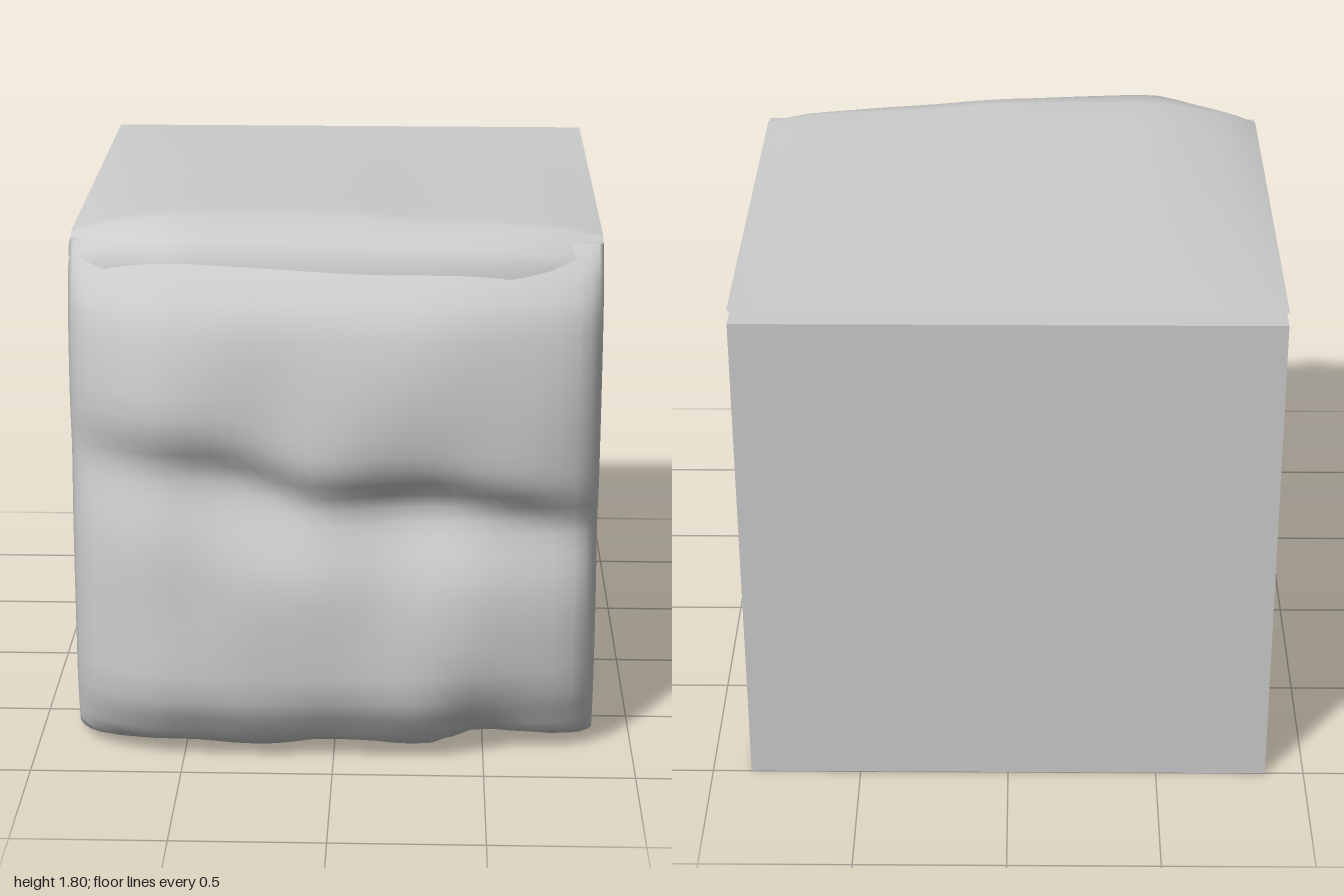
import * as THREE from 'three';

const HALF = 0.87, BACK = -1, BODY_TOP = 1.71, LIP = 0.6;

// Smooth monotone-style lookup through a few [position, value] points
function curve(points) {
  const slope = (i) => {
    if (i <= 0 || i >= points.length - 1) return null;
    const [a, b, c] = [points[i - 1], points[i], points[i + 1]];
    const l = (b[1] - a[1]) / (b[0] - a[0]), r = (c[1] - b[1]) / (c[0] - b[0]);
    return l * r <= 0 ? 0 : (2 * l * r) / (l + r);
  };
  return (t) => {
    if (t <= points[0][0]) return points[0][1];
    if (t >= points[points.length - 1][0]) return points[points.length - 1][1];
    let i = 0;
    while (t > points[i + 1][0]) i++;
    const [x0, y0] = points[i], [x1, y1] = points[i + 1];
    const h = x1 - x0, s = (t - x0) / h, d = (y1 - y0) / h;
    const m0 = slope(i) ?? d, m1 = slope(i + 1) ?? d;
    const s2 = s * s, s3 = s2 * s;
    return (2 * s3 - 3 * s2 + 1) * y0 + (s3 - 2 * s2 + s) * h * m0
      + (3 * s2 - 2 * s3) * y1 + (s3 - s2) * h * m1;
  };
}

// Smooth surface through rows of equal-length point lists
function gridGeometry(rows) {
  const n = rows[0].length, index = [];
  for (let j = 0; j < rows.length - 1; j++) {
    for (let i = 0; i < n - 1; i++) {
      const a = j * n + i, b = a + n;
      index.push(a, a + 1, b, a + 1, b + 1, b);
    }
  }
  const g = new THREE.BufferGeometry();
  g.setAttribute('position', new THREE.Float32BufferAttribute(rows.flat(2), 3));
  g.setIndex(index);
  g.computeVertexNormals();
  return g;
}

// Rock face: depth by height, fullness across the width, and the slanting crease
const profile = curve([[0, LIP], [0.04, 0.87], [0.1, 0.93], [0.24, 1], [0.6, 0.985], [0.95, 0.95],
  [1.18, 0.94], [1.4, 0.9], [1.52, 0.85], [1.6, 0.77], [1.66, 0.69], [BODY_TOP, LIP]]);
const fullness = curve([[-HALF, 0.3], [-0.84, 0.52], [-0.78, 0.7], [-0.65, 0.88], [-0.55, 0.96], [-0.2, 0.97],
  [-0.04, 1], [0.2, 0.95], [0.4, 0.89], [0.6, 0.77], [0.8, 0.58], [0.85, 0.44], [HALF, 0.3]]);
const creaseY = curve([[-HALF, 1.04], [-0.4, 0.99], [0, 0.87], [0.3, 0.87], [0.6, 0.82], [HALF, 0.77]]);
const creaseDepth = curve([[-HALF, 0.02], [-0.6, 0.06], [0, 0.09], [0.6, 0.1], [HALF, 0.04]]);
const undercut = curve([[-HALF, 0.01], [-0.5, 0.04], [-0.25, 0.01], [0, 0.06], [0.3, 0.02], [0.48, 0.1],
  [0.75, 0.05], [HALF, 0.03]]);

function rockDepth(x, y) {
  const depth = profile(y - undercut(x) * Math.min(1, y / 0.15) * Math.max(0, 1 - y));
  const d = y - creaseY(x);
  const crease = creaseDepth(x) * Math.exp(-((d / (d < 0 ? 0.17 : 0.1)) ** 2));
  const fade = Math.sin((Math.PI * y) / BODY_TOP) * Math.cos((Math.PI * x) / (2 * HALF));
  const lumps = 0.014 * fade * (Math.sin(6 * x + 4 * y) + Math.sin(9 * x - 5 * y) - 1);
  return LIP + (depth - LIP) * fullness(x) - crease + lumps;
}

const spread = (count, half) => Array.from({ length: count }, (_, i) => -half + (2 * half * i) / (count - 1));

export function createModel() {
  const group = new THREE.Group();
  const material = new THREE.MeshStandardMaterial({ color: 0xcccccc });
  const sheetMaterial = new THREE.MeshStandardMaterial({ color: 0xcccccc, side: THREE.DoubleSide });
  const add = (name, geometry, mat = material) => {
    const mesh = new THREE.Mesh(geometry, mat);
    mesh.name = name;
    group.add(mesh);
    return mesh;
  };

  // Lumpy front wrapping smoothly into the two flat sides
  const xs = [-HALF, -0.855, -0.83, ...spread(25, 0.79), 0.83, 0.855, HALF];
  const ys = [0, 0.015, 0.04, 0.07, 0.11, 0.17, 0.24, 0.33, 0.42, 0.5, 0.58, 0.65, 0.71, 0.77, 0.82, 0.87, 0.92,
    0.97, 1.02, 1.07, 1.13, 1.2, 1.28, 1.36, 1.44, 1.5, 1.55, 1.6, 1.64, 1.68, BODY_TOP];
  const sideZ = [BACK, 0.4];
  add('rockFaceAndSides', gridGeometry(ys.map((y) => [
    ...sideZ.map((z) => [-HALF, y, z]),
    ...xs.map((x) => [x, y, y === 0 || y === BODY_TOP ? LIP : rockDepth(x, y)]),
    ...sideZ.slice().reverse().map((z) => [HALF, y, z]),
  ])));

  // Flat back, underside and top of the block
  const back = add('rockBack', new THREE.PlaneGeometry(2 * HALF, BODY_TOP));
  back.position.set(0, BODY_TOP / 2, BACK);
  back.rotation.y = Math.PI;
  for (const [name, y, turn] of [['rockUnderside', 0, 1], ['rockTop', BODY_TOP, -1]]) {
    const cap = add(name, new THREE.PlaneGeometry(2 * HALF, LIP - BACK));
    cap.position.set(0, y, (LIP + BACK) / 2);
    cap.rotation.x = (turn * Math.PI) / 2;
  }

  // Thin ground sheet on top, drooping over the front edge
  const crest = curve([[-HALF, 1.725], [-0.75, 1.765], [-0.45, 1.8], [0, 1.797], [0.3, 1.775], [0.7, 1.755], [HALF, 1.725]]);
  const hemY = curve([[-HALF, 1.58], [-0.7, 1.65], [-0.5, 1.68], [-0.3, 1.67], [0.1, 1.645], [0.4, 1.635], [0.65, 1.605], [HALF, 1.565]]);
  const hemZ = curve([[-HALF, 0.65], [-0.7, 0.71], [-0.5, 0.785], [-0.2, 0.78], [0.1, 0.77], [0.6, 0.71], [HALF, 0.645]]);
  const droop = [[1, 1], [0.95, 0.72], [0.82, 0.45], [0.45, 0.18], [0.2, 0.05], [0, 0]]; // forward, downward
  const sheetX = spread(27, HALF);
  const CREST_Z = 0.53, BACK_Y = 1.755;
  const sheet = droop.map(([f, d]) => sheetX.map((x) => [
    x, crest(x) + (hemY(x) - crest(x)) * d, CREST_Z + (hemZ(x) - CREST_Z) * f]));
  for (const t of [0.1, 0.4, 0.7, 1]) {
    sheet.push(sheetX.map((x) => [x, crest(x) + (BACK_Y - crest(x)) * t, CREST_Z + (BACK - CREST_Z) * t]));
  }
  add('groundSheet', gridGeometry(sheet), sheetMaterial);

  return group;
}
